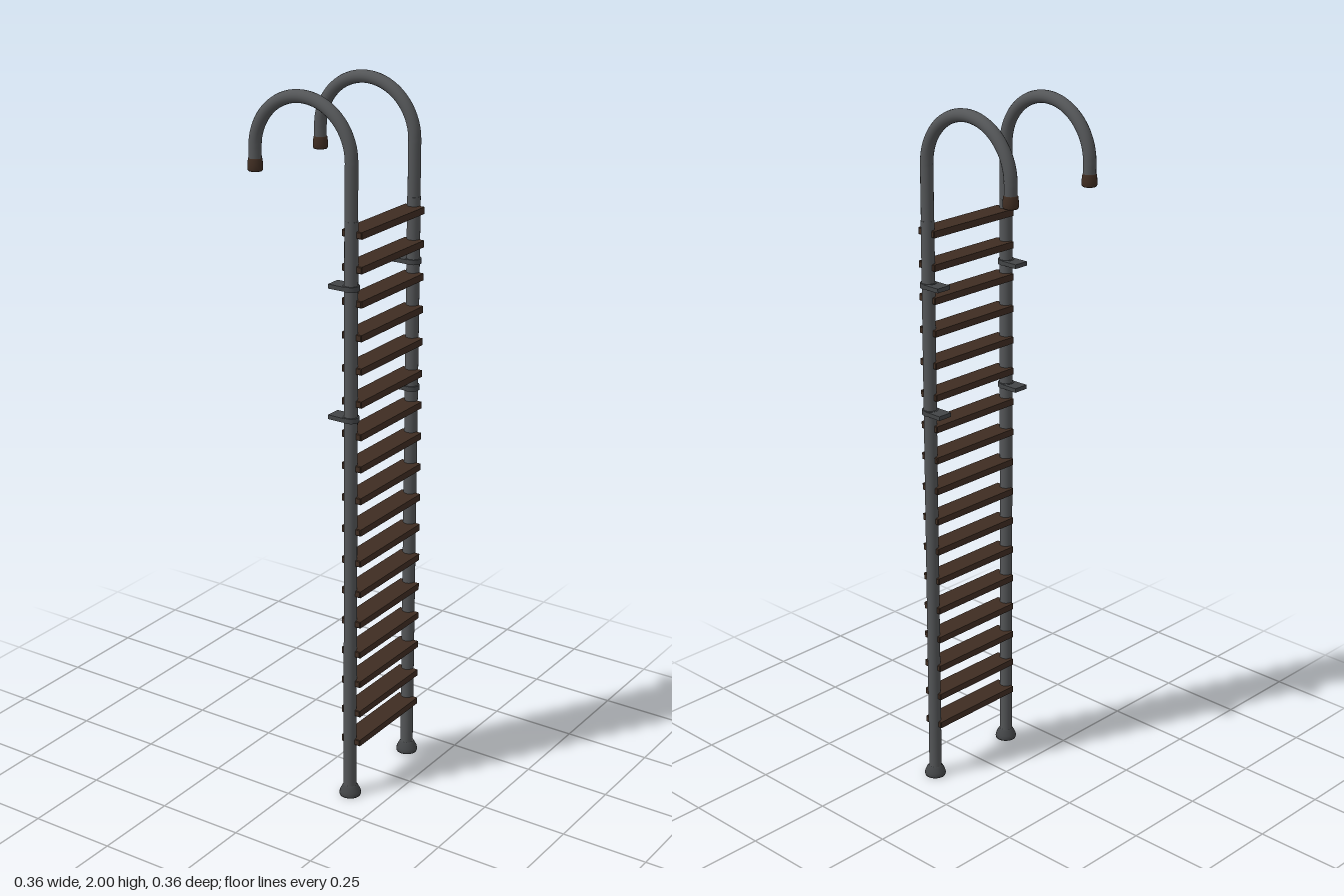
import * as THREE from 'three';

const steel = new THREE.MeshStandardMaterial({ color: 0x545658 });
steel.name = 'grey steel';
const darkSteel = new THREE.MeshStandardMaterial({ color: 0x434547 });
darkSteel.name = 'dark grey fittings';
const wood = new THREE.MeshStandardMaterial({ color: 0x3f2d22 });
wood.name = 'dark brown wood';

const RAIL_X = 0.144, RAIL_Z = 0.15, HOOK_X = -0.158, ARC_Y = 1.832;

function part(parent, name, geometry, material, x = 0, y = 0, z = 0) {
  const mesh = new THREE.Mesh(geometry, material);
  mesh.name = name;
  mesh.position.set(x, y, z);
  parent.add(mesh);
  return mesh;
}

const lathe = (points, sides = 16) =>
  new THREE.LatheGeometry(points.map(([r, y]) => new THREE.Vector2(r, y)), sides);

// Centre line of the handrail: straight up, then over in a half circle
function handrailPath() {
  const path = new THREE.CurvePath();
  const r = (RAIL_X - HOOK_X) / 2, cx = (RAIL_X + HOOK_X) / 2;
  const arc = [];
  for (let i = 0; i <= 24; i++) {
    const a = (i / 24) * Math.PI;
    arc.push(new THREE.Vector3(cx + r * Math.cos(a), ARC_Y + r * Math.sin(a), 0));
  }
  path.add(new THREE.LineCurve3(new THREE.Vector3(RAIL_X, 1.66, 0), arc[0]));
  path.add(new THREE.CatmullRomCurve3(arc));
  path.add(new THREE.LineCurve3(arc[24], new THREE.Vector3(HOOK_X, 1.79, 0)));
  return path;
}

function buildRail(side) {
  const rail = new THREE.Group();
  rail.name = side > 0 ? 'frontRail' : 'backRail';
  rail.position.z = side * RAIL_Z;

  part(rail, 'upright', new THREE.CylinderGeometry(0.0182, 0.0182, 1.67, 20), steel, RAIL_X, 0.845);
  part(rail, 'hookedHandrail', new THREE.TubeGeometry(handrailPath(), 80, 0.0175, 16), steel);

  // Cap on the free end of the hook
  part(rail, 'hookCap', lathe([[0, 0], [0.019, 0], [0.021, 0.004], [0.021, 0.016], [0.019, 0.032], [0.0172, 0.034]]),
    wood, HOOK_X, 1.77);

  // Flared foot
  part(rail, 'foot', lathe([[0, 0], [0.03, 0], [0.031, 0.006], [0.029, 0.014], [0.022, 0.028], [0.018, 0.032]]),
    darkSteel, RAIL_X + 0.001, 0);

  // Wall brackets: collar around the upright and a flat tab
  for (const y of [1.14, 1.502]) {
    part(rail, 'bracketCollar', new THREE.CylinderGeometry(0.0225, 0.0225, 0.014, 20), darkSteel, RAIL_X, y);
    part(rail, 'bracketTab', new THREE.BoxGeometry(0.058, 0.012, 0.045), darkSteel, 0.115, y);
  }
  return rail;
}

export function createModel() {
  const ladder = new THREE.Group();
  ladder.name = 'ladder';
  for (const side of [1, -1]) ladder.add(buildRail(side));

  // Flat wooden treads with slightly bevelled edges
  const outline = new THREE.Shape();
  const w = 0.0285, h = 0.0075;
  outline.moveTo(-w, -h).lineTo(w, -h).lineTo(w, h).lineTo(-w, h).closePath();
  const tread = new THREE.ExtrudeGeometry(outline, {
    depth: 0.302, bevelEnabled: true, bevelSize: 0.002, bevelThickness: 0.002, bevelSegments: 1,
  });
  tread.translate(0, 0, -0.151);
  for (let i = 0; i < 17; i++) {
    part(ladder, 'tread', tread, wood, 0.147, 0.172 + i * 0.0921);
  }
  return ladder;
}
